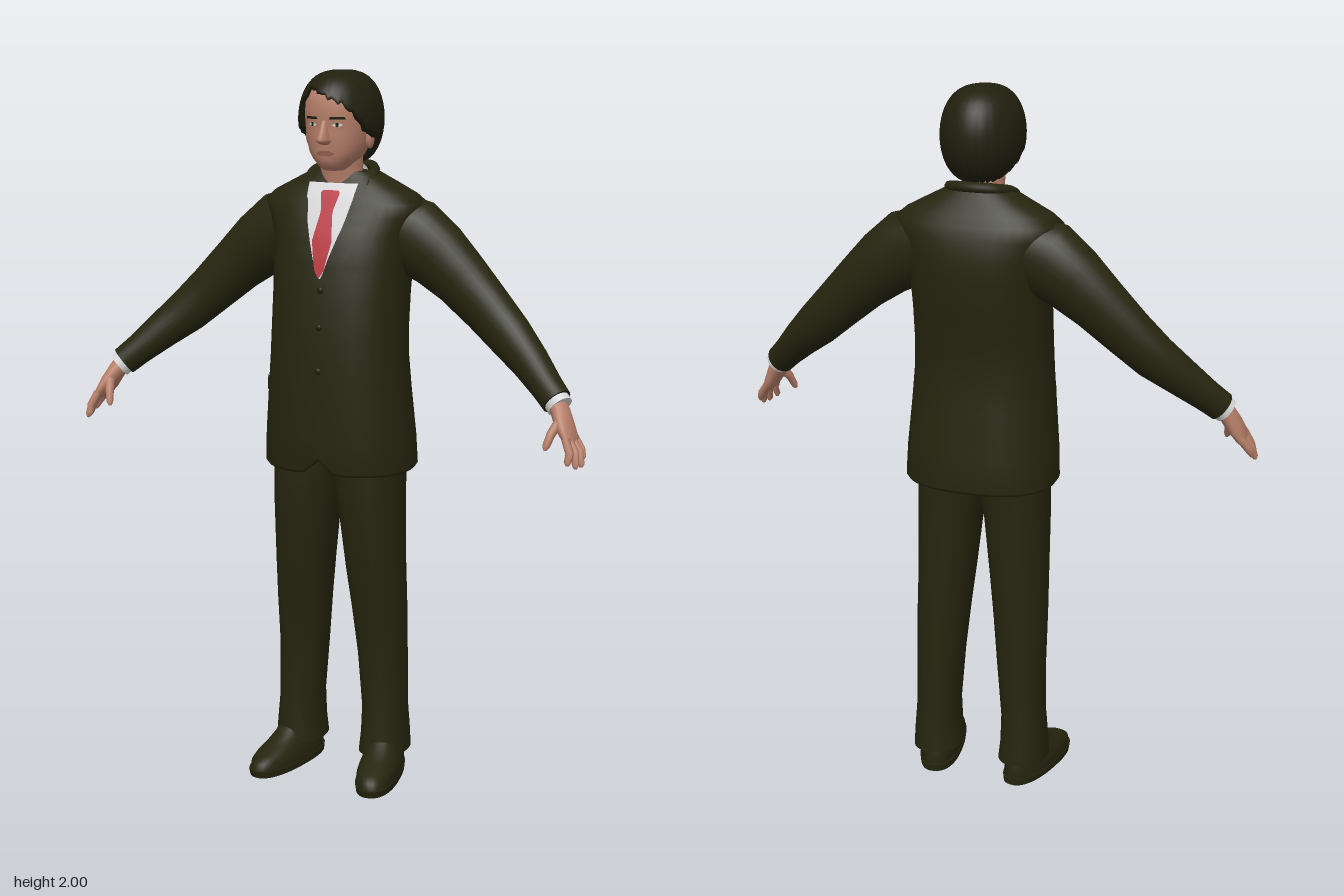
import * as THREE from 'three';

const material = (name, color) => Object.assign(
  new THREE.MeshStandardMaterial({ color, side: THREE.DoubleSide }), { name });
const V = (p) => new THREE.Vector3(...p);
const SEG = 40;

// Signed power, for superellipse sections
const spow = (v, p) => Math.sign(v) * Math.abs(v) ** p;

// Piecewise linear lookup in rows sorted by their first entry
function lookup(rows, t) {
  let i = 0;
  while (i < rows.length - 2 && t > rows[i + 1][0]) i++;
  const a = rows[i], b = rows[i + 1];
  const k = THREE.MathUtils.clamp((t - a[0]) / (b[0] - a[0]), 0, 1);
  return a.map((v, j) => v + (b[j] - v) * k);
}

// Skin closed rings of points together, with optional end caps
function skin(rings, caps = true) {
  const n = rings[0].length, pos = [], idx = [];
  rings.forEach((r) => r.forEach((p) => pos.push(p.x, p.y, p.z)));
  for (let i = 0; i < rings.length - 1; i++) {
    for (let j = 0; j < n; j++) {
      const a = i * n + j, b = i * n + (j + 1) % n;
      idx.push(a, b, a + n, b, b + n, a + n);
    }
  }
  if (caps) [rings[0], rings[rings.length - 1]].forEach((r, e) => {
    const s = pos.length / 3;
    const c = r.reduce((m, p) => m.add(p), new THREE.Vector3()).divideScalar(n);
    [...r, c].forEach((p) => pos.push(p.x, p.y, p.z));
    for (let j = 0; j < n; j++) {
      const k = (j + 1) % n;
      if (e) idx.push(s + n, s + j, s + k); else idx.push(s + n, s + k, s + j);
    }
  });
  return build(pos, idx);
}

function build(pos, idx) {
  const g = new THREE.BufferGeometry();
  g.setAttribute('position', new THREE.Float32BufferAttribute(pos, 3));
  g.setIndex(idx);
  g.computeVertexNormals();
  return g;
}

// Horizontal sections, bottom to top: [y, half width, back z, front z, centre x]
function stack(rows, n = 2, tilt = 0, caps = true) {
  return skin(rows.map(([y, hx, zb, zf, xc = 0]) => Array.from({ length: SEG }, (_, j) => {
    const a = j / SEG * Math.PI * 2;
    const dz = (zf - zb) / 2 * spow(Math.cos(a), 2 / n);
    return V([xc + hx * spow(Math.sin(a), 2 / n), y + tilt * dz, (zf + zb) / 2 + dz]);
  })), caps);
}

// Elliptical sections along a path: [x, y, z, radius across, radius in depth]
function limb(rows, seg = 20) {
  const pts = rows.map((r) => V(r.slice(0, 3)));
  return skin(rows.map((r, i) => {
    const d = pts[Math.min(i + 1, pts.length - 1)].clone().sub(pts[Math.max(i - 1, 0)]).normalize();
    const u = d.clone().cross(V([0, 0, 1])).normalize(), w = u.clone().cross(d);
    return Array.from({ length: seg }, (_, j) => {
      const a = j / seg * Math.PI * 2;
      return pts[i].clone().addScaledVector(u, r[3] * Math.sin(a)).addScaledVector(w, r[4] * Math.cos(a));
    });
  }));
}

// Thin plate laid on the front of a stack: plate rows are [y, x0, x1]
function plate(body, n, rows, off = 0.006) {
  const pos = [], idx = [], nx = 8, ny = (rows.length - 1) * 4;
  for (let i = 0; i <= ny; i++) {
    const k = Math.min(Math.floor(i / 4), rows.length - 2), t = i / 4 - k;
    const [y, x0, x1] = rows[k].map((v, m) => v + (rows[k + 1][m] - v) * t);
    const [, hx, zb, zf] = lookup(body, y);
    for (let j = 0; j <= nx; j++) {
      const x = x0 + (x1 - x0) * j / nx;
      const f = Math.max(0, 1 - Math.abs(x / hx) ** n) ** (1 / n);
      pos.push(x, y, (zf + zb) / 2 + (zf - zb) / 2 * f + off);
      if (i < ny && j < nx) {
        const a = i * (nx + 1) + j, b = a + nx + 1;
        idx.push(a, a + 1, b, a + 1, b + 1, b);
      }
    }
  }
  return build(pos, idx);
}

// Reflected copy in x with the corner order restored
function mirrored(g) {
  const m = g.clone().scale(-1, 1, 1), ix = m.index;
  for (let i = 0; i < ix.count; i += 3) {
    const a = ix.getX(i);
    ix.setX(i, ix.getX(i + 1));
    ix.setX(i + 1, a);
  }
  m.computeVertexNormals();
  return m;
}

// Hair cap: rounded shell whose lower edge follows a hairline [degrees from front, y]
function hairCap(line) {
  const n = 72, steps = 14, rings = [];
  for (let i = -1; i <= steps; i++) {
    rings.push(Array.from({ length: n }, (_, j) => {
      const deg = j / n * 360, a = deg * Math.PI / 180;
      const edge = lookup(line, deg > 180 ? deg - 360 : deg)[1] + 0.006 * Math.sin(j * 2.3);
      const phi = Math.acos((edge - 1.87) / 0.13) * (1 - Math.max(i, 0) / steps);
      const r = Math.sin(phi) ** 0.7 * (i < 0 ? 0.75 : 1), c = Math.cos(a);
      return V([0.112 * r * Math.sin(a), 1.87 + 0.13 * Math.cos(phi), -0.025 + (c > 0 ? 0.148 : 0.135) * r * c]);
    }));
  }
  return skin(rings, false);
}

export function createModel() {
  const model = new THREE.Group();
  const suit = material('dark suit', 0x26250f), hair = material('dark hair', 0x211f0e);
  const skinTone = material('skin', 0xb8806a), shirt = material('white shirt', 0xd6d6d8);
  const red = material('red tie', 0xb8353f), lip = material('lips', 0x9a5f50);
  const add = (name, g, mat) => {
    const m = new THREE.Mesh(g, mat);
    m.name = name;
    model.add(m);
    return m;
  };
  const pair = (name, g, mat) => {
    add('left' + name, g, mat);
    add('right' + name, mirrored(g), mat);
  };

  // Jacket body, with a hem split at the front
  const torso = [
    [0.93, 0.19, -0.165, 0.115], [0.905, 0.208, -0.183, 0.133], [0.915, 0.215, -0.19, 0.14],
    [1.0, 0.211, -0.186, 0.145], [1.13, 0.2, -0.171, 0.145], [1.22, 0.193, -0.164, 0.143],
    [1.3, 0.19, -0.167, 0.14], [1.4, 0.19, -0.18, 0.13], [1.5, 0.194, -0.19, 0.112],
    [1.56, 0.2, -0.188, 0.095], [1.61, 0.22, -0.18, 0.073], [1.645, 0.235, -0.165, 0.056],
    [1.67, 0.205, -0.15, 0.044], [1.7, 0.148, -0.13, 0.025], [1.73, 0.09, -0.108, 0.01],
  ];
  const body = torso.slice(2), jacket = stack(torso, 2.4), p = jacket.attributes.position;
  for (let i = 0; i < p.count; i++) {
    if (p.getY(i) < 0.95 && p.getZ(i) > 0.1) {
      p.setY(i, p.getY(i) + 0.04 * Math.max(0, 1 - Math.abs(p.getX(i)) / 0.05));
    }
  }
  jacket.computeVertexNormals();
  add('jacket', jacket, suit);
  add('frontOverlap', plate(body, 2.4, [[0.96, -0.004, 0.02], [1.1, -0.006, 0.02], [1.44, -0.008, 0.015]], 0.004), suit);
  for (const y of [1.2, 1.32, 1.42]) {
    const button = add('button', new THREE.SphereGeometry(0.009, 12, 8).scale(1, 1, 0.5), hair);
    button.position.set(0.005, y, lookup(body, y)[3] + 0.005);
  }
  pair('PocketFlap', plate(body, 2.4, [[1.125, 0.1, 0.18], [1.165, 0.1, 0.18]], 0.008), suit);
  add('breastPocket', plate(body, 2.4, [[1.47, 0.07, 0.14], [1.49, 0.07, 0.14]], 0.005), suit);

  // Shirt front, tie and lapels
  add('shirtFront', plate(body, 2.4,
    [[1.45, -0.002, 0.002], [1.5, -0.024, 0.024], [1.6, -0.056, 0.056], [1.7, -0.074, 0.074]], 0.004), shirt);
  add('tie', plate(body, 2.4, [[1.455, -0.003, 0.003], [1.475, -0.014, 0.014], [1.55, -0.029, 0.029],
    [1.62, -0.018, 0.018], [1.632, -0.018, 0.018], [1.675, -0.028, 0.028], [1.682, -0.022, 0.022]], 0.012), red);
  pair('Lapel', plate(body, 2.4, [[1.43, 0, 0.008], [1.5, 0.022, 0.07], [1.585, 0.051, 0.116],
    [1.6, 0.055, 0.094], [1.612, 0.058, 0.11], [1.66, 0.068, 0.104], [1.72, 0.074, 0.092]], 0.011), suit);
  pair('CollarWing', plate(body, 2.4, [[1.625, 0.036, 0.044], [1.665, 0.022, 0.07], [1.7, 0.03, 0.075]], 0.01), shirt);
  add('shirtCollar', stack([[1.66, 0.076, -0.1, 0.046], [1.712, 0.07, -0.097, 0.036], [1.7, 0.058, -0.085, 0.024]],
    2, -0.55, false), shirt);
  const collarPath = new THREE.CatmullRomCurve3([[0.083, 1.69, 0.012], [0.09, 1.722, -0.035], [0.062, 1.738, -0.09],
    [0, 1.742, -0.108], [-0.062, 1.738, -0.09], [-0.09, 1.722, -0.035], [-0.083, 1.69, 0.012]].map(V));
  add('jacketCollar', new THREE.TubeGeometry(collarPath, 40, 0.014, 8), suit);

  // Sleeves, cuffs and hands
  pair('Sleeve', limb([[0.1, 1.595, -0.065, 0.09, 0.085], [0.2, 1.553, -0.065, 0.107, 0.083],
    [0.27, 1.505, -0.065, 0.094, 0.076], [0.34, 1.445, -0.062, 0.081, 0.066], [0.42, 1.37, -0.052, 0.071, 0.058],
    [0.49, 1.305, -0.036, 0.064, 0.053], [0.56, 1.245, -0.002, 0.053, 0.048], [0.62, 1.19, 0.034, 0.044, 0.042],
    [0.655, 1.158, 0.055, 0.042, 0.039]], 28), suit);
  pair('Cuff', limb([[0.64, 1.172, 0.046, 0.036, 0.034], [0.667, 1.146, 0.062, 0.036, 0.034]]), shirt);
  pair('Palm', limb([[0.65, 1.162, 0.055, 0.026, 0.028], [0.67, 1.135, 0.068, 0.025, 0.032],
    [0.688, 1.1, 0.083, 0.023, 0.042], [0.706, 1.07, 0.093, 0.017, 0.043], [0.712, 1.058, 0.097, 0.01, 0.038]]), skinTone);
  const tips = [[0.718, 1.01, 0.148], [0.735, 1.0, 0.13], [0.743, 1.0, 0.106], [0.739, 1.015, 0.08]];
  tips.forEach(([x, y, z], i) => pair('Finger', limb([[0.704, 1.075, 0.126 - i * 0.022, 0.011, 0.011],
    [(x + 0.722) / 2, 1.04, (z + 0.128 - i * 0.022) / 2, 0.011, 0.011],
    [x - 0.001, y + 0.008, z, 0.009, 0.009], [x, y, z, 0.004, 0.004]], 10), skinTone));
  pair('Thumb', limb([[0.68, 1.12, 0.095, 0.014, 0.016], [0.664, 1.085, 0.126, 0.012, 0.013],
    [0.656, 1.055, 0.14, 0.01, 0.01], [0.653, 1.044, 0.143, 0.004, 0.004]], 10), skinTone);

  // Trousers from outer and inner edges: [y, outer x, inner x, back z, front z]
  const leg = [[0.065, 0.2, 0.062, -0.13, 0.052], [0.12, 0.197, 0.068, -0.126, 0.048], [0.2, 0.191, 0.07, -0.12, 0.04],
    [0.36, 0.19, 0.056, -0.12, 0.042], [0.5, 0.19, 0.043, -0.12, 0.062], [0.62, 0.188, 0.03, -0.12, 0.08],
    [0.8, 0.188, 0.01, -0.122, 0.097], [0.87, 0.188, -0.002, -0.125, 0.1], [0.95, 0.188, -0.015, -0.13, 0.1]];
  pair('TrouserLeg', stack(leg.map(([y, o, i, zb, zf]) => [y, (o - i) / 2, zb, zf, (o + i) / 2]), 2.3), suit);

  // Shoes, toes turned slightly outward
  const turn = (g) => g.rotateY(0.18).translate(0.148, 0, 0.035);
  pair('Sole', turn(stack([[0, 0.058, -0.16, 0.155], [0.018, 0.06, -0.162, 0.16], [0.02, 0.06, -0.162, 0.16]], 2.4)), suit);
  pair('Shoe', turn(stack([[0.018, 0.058, -0.158, 0.155], [0.04, 0.058, -0.158, 0.15], [0.055, 0.055, -0.155, 0.125],
    [0.07, 0.05, -0.152, 0.08], [0.09, 0.045, -0.15, 0.035], [0.12, 0.042, -0.145, 0.0]], 2.3)), suit);

  // Neck, head and face
  add('neck', stack([[1.65, 0.062, -0.085, 0.025], [1.72, 0.058, -0.078, 0.028], [1.8, 0.06, -0.08, 0.05]]), skinTone);
  const head = [[1.735, 0.03, -0.04, 0.055], [1.745, 0.042, -0.06, 0.073], [1.765, 0.06, -0.075, 0.084],
    [1.785, 0.074, -0.085, 0.086], [1.81, 0.081, -0.1, 0.09], [1.84, 0.087, -0.115, 0.093], [1.862, 0.089, -0.12, 0.092],
    [1.88, 0.09, -0.125, 0.098], [1.92, 0.09, -0.13, 0.098], [1.95, 0.08, -0.12, 0.088], [1.975, 0.055, -0.09, 0.06]];
  add('head', stack(head, 2.2), skinTone);
  add('nose', stack([[1.808, 0.012, 0.07, 0.1], [1.815, 0.019, 0.07, 0.121], [1.824, 0.016, 0.07, 0.129],
    [1.845, 0.011, 0.07, 0.113], [1.872, 0.009, 0.07, 0.099]]), skinTone);
  pair('Ear', new THREE.SphereGeometry(0.03, 14, 10).scale(0.4, 1, 0.6).translate(0.088, 1.822, -0.012), skinTone);
  pair('Eye', plate(head, 2.2, [[1.856, 0.03, 0.04], [1.86, 0.022, 0.05], [1.865, 0.03, 0.044]], 0.002), shirt);
  pair('Iris', plate(head, 2.2, [[1.856, 0.032, 0.04], [1.866, 0.032, 0.04]], 0.003), hair);
  pair('Brow', plate(head, 2.2, [[1.875, 0.016, 0.058], [1.882, 0.02, 0.055]], 0.003), hair);
  add('mouth', plate(head, 2.2, [[1.777, -0.016, 0.016], [1.784, -0.028, 0.028], [1.791, -0.012, 0.012]], 0.004), lip);

  // Hair with a side parting
  add('hair', hairCap([[-180, 1.752], [-125, 1.757], [-100, 1.79], [-82, 1.825], [-62, 1.85], [-48, 1.9], [-28, 1.958],
    [-12, 1.948], [10, 1.932], [30, 1.916], [48, 1.885], [62, 1.85], [82, 1.825], [100, 1.79], [125, 1.757], [180, 1.752]]), hair);

  return model;
}
